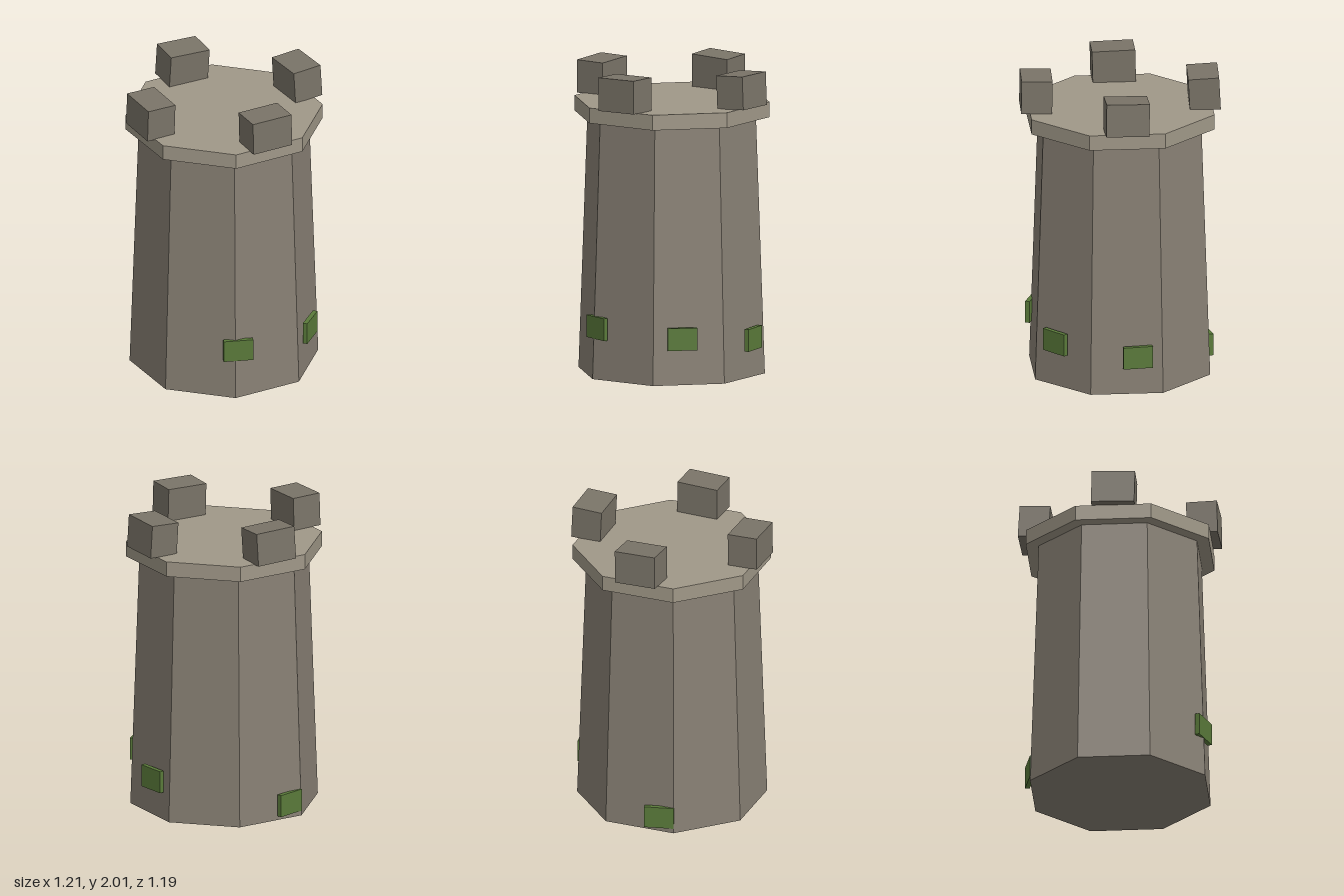
import * as THREE from 'three';

const CX = -0.012; // tower axis, offset by the patches sticking out on one side

export function createModel() {
  const group = new THREE.Group();
  const mat = (color) => new THREE.MeshStandardMaterial({ color, flatShading: true });
  const stone = mat(0x888074);
  const capStone = mat(0xa09888);
  const darkStone = mat(0x7a7468);
  const moss = mat(0x5a7a3a);

  const add = (name, geometry, material, x, y, z) => {
    const mesh = new THREE.Mesh(geometry, material);
    mesh.name = name;
    mesh.position.set(x, y, z);
    group.add(mesh);
    return mesh;
  };

  // Octagonal section with flat sides facing the axes, sized by its apothem
  const octagon = (topApothem, bottomApothem, height) => {
    const k = 1 / Math.cos(Math.PI / 8);
    return new THREE.CylinderGeometry(topApothem * k, bottomApothem * k, height, 8)
      .rotateY(Math.PI / 8);
  };

  // Tapered shaft and overhanging platform
  add('towerShaft', octagon(0.512, 0.567, 1.7), stone, CX, 0.85, 0);
  add('platform', octagon(0.5925, 0.5925, 0.1), capStone, CX, 1.73, -0.002);

  // Four battlement blocks on the diagonals, each a little crooked:
  // [angle, twist, lean inward, lean sideways]
  const blocks = [
    [45, -2, -1, 1],
    [135, 1, -3, -1],
    [225, -2, -3, 2],
    [315, 0, -1, -1.5],
  ];
  const rad = THREE.MathUtils.degToRad;
  for (const [angle, twist, lean, side] of blocks) {
    const a = rad(angle);
    const block = add('battlement', new THREE.BoxGeometry(0.28, 0.217, 0.2), darkStone,
      CX + Math.sin(a) * 0.543, 1.887, Math.cos(a) * 0.543);
    block.rotation.set(rad(lean), a + rad(twist), rad(side), 'YXZ');
  }

  // Moss patches around the base: [angle from the front, height]
  for (const [angle, y] of [[24.4, 0.338], [85.5, 0.305], [141.7, 0.255], [238.7, 0.105]]) {
    const a = rad(angle);
    const patch = add('mossPatch', new THREE.BoxGeometry(0.192, 0.146, 0.03), moss,
      CX + Math.sin(a) * 0.592, y, Math.cos(a) * 0.592);
    patch.rotation.y = a;
  }

  return group;
}
